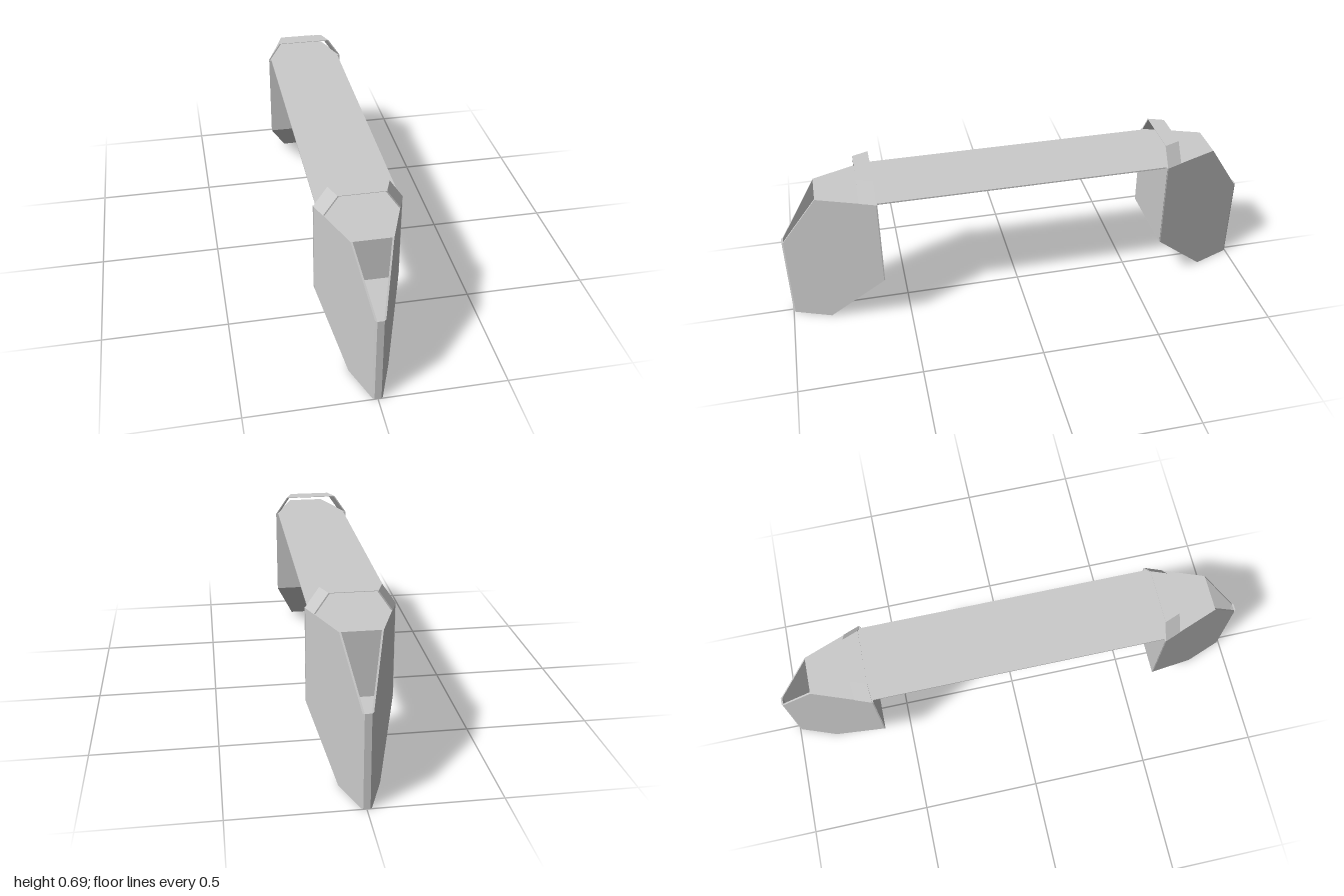
import * as THREE from 'three';

const V = (x, y, z) => new THREE.Vector3(x, y, z);
const material = new THREE.MeshStandardMaterial({
  color: 0xcccccc, flatShading: true, side: THREE.DoubleSide,
});

// Flat plate: a convex outline thickened along an offset vector
function plate(name, outline, offset) {
  const n = outline.length;
  const normal = outline[1].clone().sub(outline[0]).cross(outline[2].clone().sub(outline[0]));
  const a = normal.dot(offset) > 0 ? [...outline].reverse() : outline;
  const b = a.map((p) => p.clone().add(offset));
  const tris = [];
  for (let i = 1; i < n - 1; i++) {
    tris.push(a[0], a[i], a[i + 1], b[0], b[i + 1], b[i]);
  }
  for (let i = 0; i < n; i++) {
    const j = (i + 1) % n;
    tris.push(a[i], b[i], b[j], a[i], b[j], a[j]);
  }
  const geometry = new THREE.BufferGeometry().setFromPoints(tris);
  geometry.computeVertexNormals();
  const mesh = new THREE.Mesh(geometry, material);
  mesh.name = name;
  return mesh;
}

const TOP = 0.61, BACK = 0.6, SHOULDER = 0.84, NOSE = 0.993, WALL = 0.007;
// Half width of the wedge-shaped end at depth z
const half = (z) => 0.168 + ((z - BACK) * (0.02 - 0.168)) / (NOSE - BACK);

// Plate spanning both sides between two (y, z) lines
function span(name, y0, z0, y1, z1, offset, inset = 0.002) {
  const w0 = half(z0) - inset, w1 = half(z1) - inset;
  return plate(name, [V(-w0, y0, z0), V(w0, y0, z0), V(w1, y1, z1), V(-w1, y1, z1)], offset);
}

// Hollow wedge-shaped end, open at the sloping front and at the foot
function createEnd() {
  const end = new THREE.Group();
  const profile = [
    [BACK, 0.23], [SHOULDER, 0], [NOSE, 0], [NOSE, 0.377], [SHOULDER, TOP], [BACK, TOP],
  ];
  for (const s of [1, -1]) {
    end.add(plate('sideWall', profile.map(([z, y]) => V(s * half(z), y, z)), V(-s * WALL, 0, 0)));
  }
  end.add(span('topPlate', TOP, BACK, TOP, SHOULDER, V(0, -0.005, 0), 0.0005));
  end.add(span('innerWall', 0.23, BACK, TOP, BACK, V(0, 0, 0.005), 0.0005));
  end.add(span('slopingUnderside', 0.23, BACK, 0, SHOULDER, V(0, 0.005, 0.003)));

  // Narrow upright nose with chamfered edges
  end.add(plate('nose',
    [V(-0.02, 0, NOSE), V(0.02, 0, NOSE), V(0.013, 0, 1), V(-0.013, 0, 1)], V(0, 0.377, 0)));

  // Raised strap: two leaning legs and a thin flat top
  const z0 = 0.605, z1 = 0.67, y = 0.688;
  for (const s of [1, -1]) {
    end.add(plate('strapLeg', [
      V(s * 0.168, TOP, z0), V(s * 0.143, TOP, z1), V(s * 0.09, y, z1), V(s * 0.115, y, z0),
    ], V(-s * 0.006, 0, 0)));
  }
  end.add(plate('strapTop',
    [V(-0.115, y, z0), V(0.115, y, z0), V(0.09, y, z1), V(-0.09, y, z1)], V(0, -0.002, 0)));
  return end;
}

export function createModel() {
  const model = new THREE.Group();
  model.name = 'span';

  // Long thin deck joining the two ends
  const deck = new THREE.Mesh(new THREE.BoxGeometry(0.314, 0.006, 2 * BACK), material);
  deck.name = 'deck';
  deck.position.y = TOP - 0.003;
  model.add(deck);

  for (const [name, turn] of [['frontEnd', 0], ['backEnd', Math.PI]]) {
    const end = createEnd();
    end.name = name;
    end.rotation.y = turn;
    model.add(end);
  }
  return model;
}
